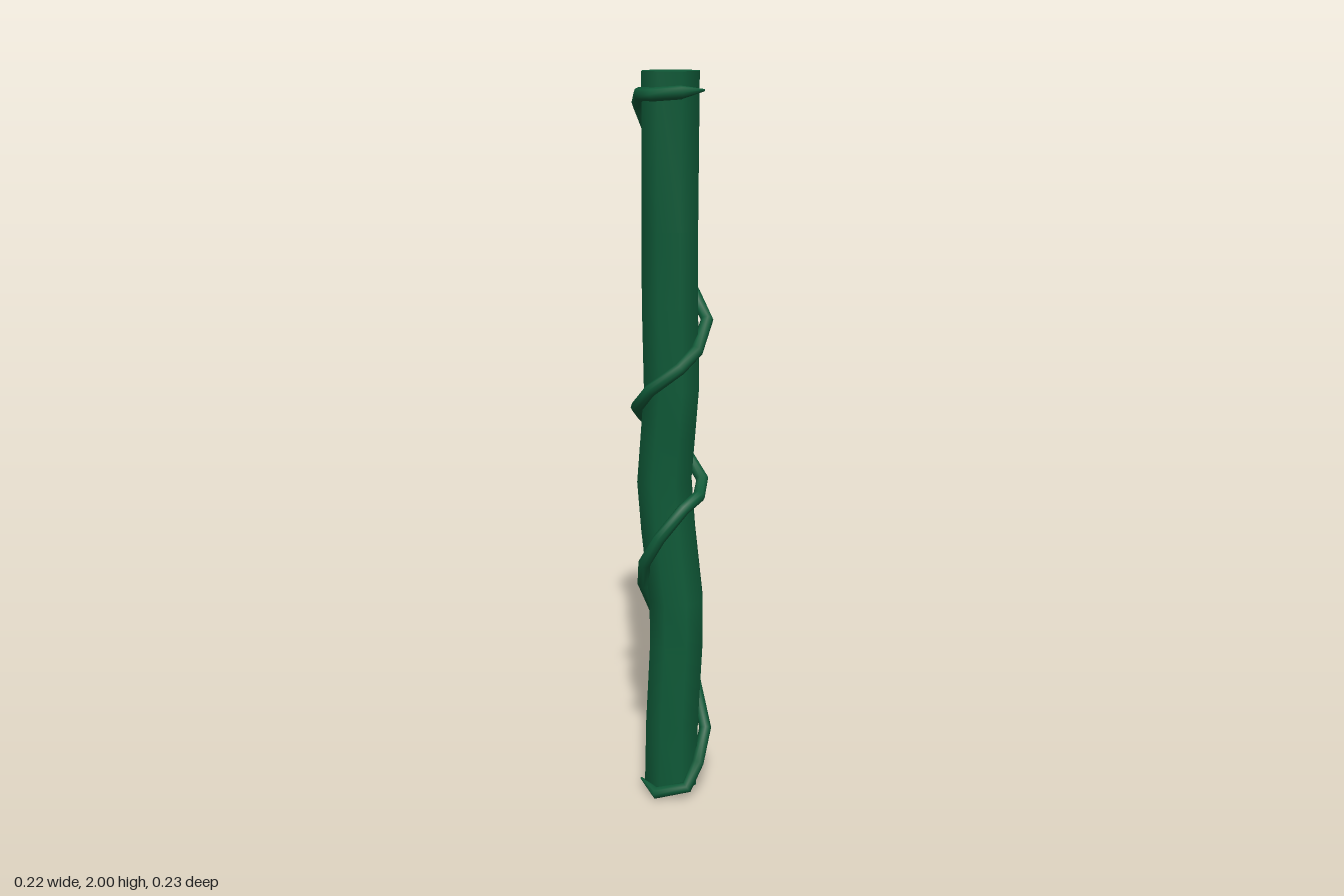
import * as THREE from 'three';

// Sweep a polygon along rings of { c, r, u, v }, where u x v points along the path
function loft(rings, sides, turn = 0) {
  const pos = [], idx = [];
  const addRing = ({ c, r, u, v }) => {
    for (let j = 0; j < sides; j++) {
      const a = turn + (j / sides) * Math.PI * 2;
      const p = c.clone().addScaledVector(u, r * Math.cos(a)).addScaledVector(v, r * Math.sin(a));
      pos.push(p.x, p.y, p.z);
    }
  };
  rings.forEach(addRing);
  for (let i = 0; i < rings.length - 1; i++) {
    for (let j = 0; j < sides; j++) {
      const k = (j + 1) % sides;
      const a = i * sides + j, b = i * sides + k;
      idx.push(a, b, a + sides, b, b + sides, a + sides);
    }
  }
  // End caps have their own corners so their edges stay sharp
  [rings[0], rings[rings.length - 1]].forEach((ring, end) => {
    const s = pos.length / 3;
    addRing(ring);
    for (let j = 1; j < sides - 1; j++) {
      if (end) idx.push(s, s + j, s + j + 1);
      else idx.push(s, s + j + 1, s + j);
    }
  });
  const g = new THREE.BufferGeometry();
  g.setAttribute('position', new THREE.Float32BufferAttribute(pos, 3));
  g.setIndex(idx);
  g.computeVertexNormals();
  return g;
}

export function createModel() {
  const group = new THREE.Group();
  const green = new THREE.MeshStandardMaterial({ color: 0x0f5a38 });
  green.name = 'stemGreen';

  // Gently swaying octagonal stem: x, y, z of its axis
  const axis = [
    [0, 0.02, 0], [0.004, 0.22, -0.002], [0.012, 0.45, -0.011], [0.01, 0.58, -0.012],
    [-0.012, 0.78, -0.006], [-0.022, 0.92, -0.002], [-0.01, 1.05, -0.002],
    [0.001, 1.18, -0.003], [-0.004, 1.4, -0.003], [-0.004, 1.6, -0.002], [0, 2, 0],
  ];
  const U = new THREE.Vector3(0, 0, 1), V = new THREE.Vector3(1, 0, 0);
  const stemRings = axis.map(p => ({ c: new THREE.Vector3(...p), r: 0.079, u: U, v: V }));
  const stem = new THREE.Mesh(loft(stemRings, 8, THREE.MathUtils.degToRad(10)), green);
  stem.name = 'stem';
  group.add(stem);

  // Tendril winding up around the stem, with pointed ends
  const path = [
    [-0.065, 0.028, 0.055], [0.01, 0.018, 0.088], [0.085, 0.04, 0.045], [0.093, 0.1, 0],
    [0.078, 0.18, -0.06], [0.02, 0.3, -0.093], [-0.035, 0.4, -0.082], [-0.064, 0.5, -0.03],
    [-0.064, 0.62, 0.04], [-0.03, 0.7, 0.084], [0.02, 0.78, 0.086], [0.068, 0.86, 0.04],
    [0.072, 0.88, -0.03], [0.045, 0.91, -0.088], [-0.02, 0.98, -0.098], [-0.08, 1.03, -0.065],
    [-0.09, 1.09, 0], [-0.065, 1.13, 0.065], [0, 1.19, 0.098], [0.07, 1.25, 0.06],
    [0.083, 1.29, 0], [0.07, 1.36, -0.068], [0.01, 1.42, -0.097], [-0.045, 1.52, -0.084],
    [-0.083, 1.67, -0.05], [-0.093, 1.84, -0.04], [-0.08, 1.92, 0.03], [-0.04, 1.945, 0.08],
    [0.01, 1.945, 0.096], [0.07, 1.95, 0.06], [0.088, 1.953, -0.02],
  ].map(p => new THREE.Vector3(...p));
  const last = path.length - 1;
  const vineRings = path.map((c, i) => {
    const before = c.clone().sub(path[Math.max(i - 1, 0)]).normalize();
    const after = path[Math.min(i + 1, last)].clone().sub(c).normalize();
    const t = before.add(after).normalize();
    const u = new THREE.Vector3(c.x, 0, c.z);
    u.addScaledVector(t, -u.dot(t)).normalize();
    const v = t.clone().cross(u);
    return { c, r: i === 0 || i === last ? 0.003 : 0.017, u, v };
  });
  const vine = new THREE.Mesh(loft(vineRings, 8), green);
  vine.name = 'tendril';
  group.add(vine);

  return group;
}
